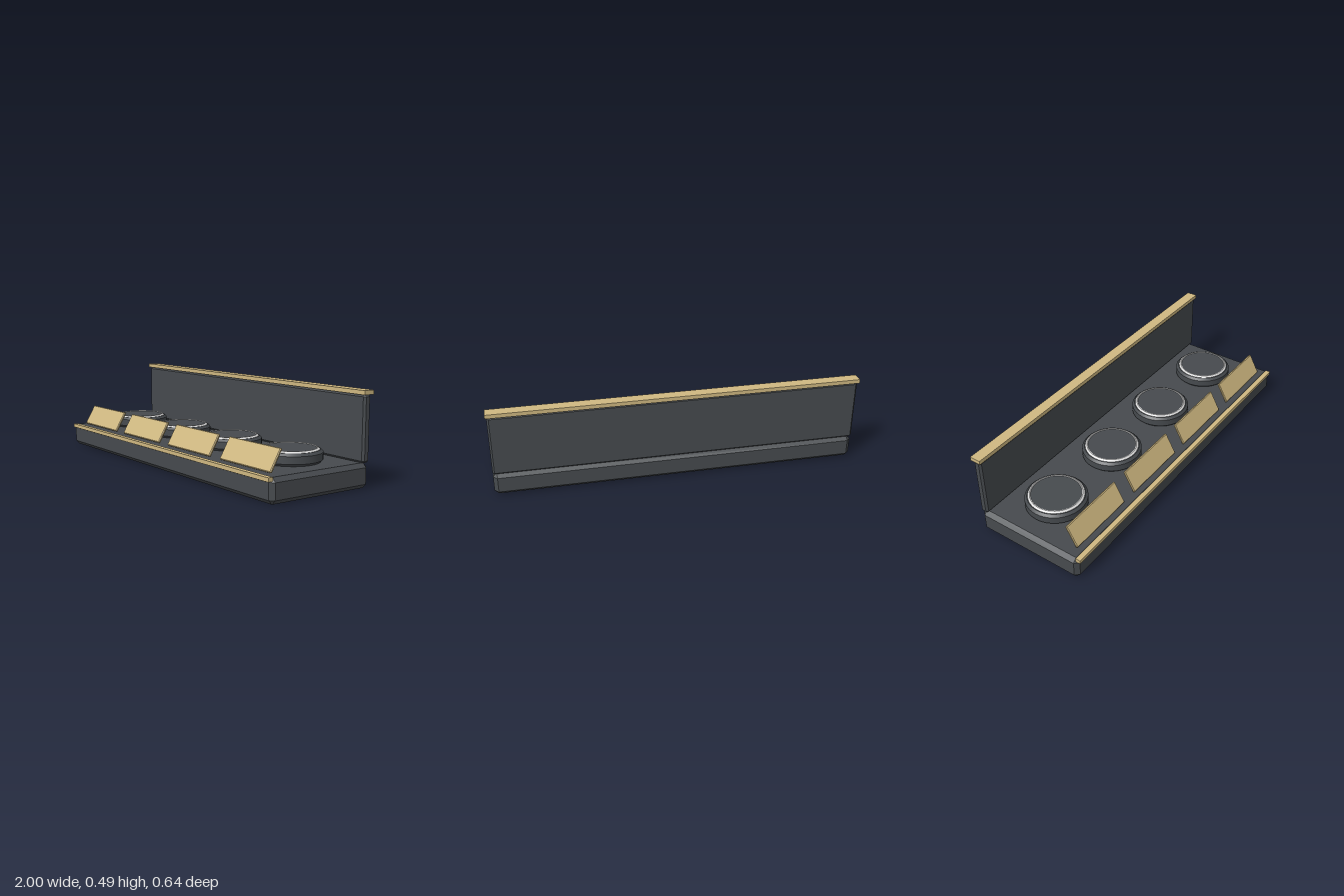
import * as THREE from 'three';
import { ConvexGeometry } from 'three/addons/geometries/ConvexGeometry.js';
import { toCreasedNormals } from 'three/addons/utils/BufferGeometryUtils.js';

const charcoal = new THREE.MeshStandardMaterial({ color: 0x464a4e });
charcoal.name = 'charcoal';
const brass = new THREE.MeshStandardMaterial({ color: 0xcfb881 });
brass.name = 'brass';
const silver = new THREE.MeshStandardMaterial({ color: 0xdcdcdc });
silver.name = 'silver';

// Box with every edge cut by a flat bevel
function bevelBox(w, h, d, b) {
  const pts = [];
  for (const x of [-1, 1]) for (const y of [-1, 1]) for (const z of [-1, 1]) {
    for (let axis = 0; axis < 3; axis++) {
      const cut = [b, b, b];
      cut[axis] = 0;
      pts.push(new THREE.Vector3(x * (w / 2 - cut[0]), y * (h / 2 - cut[1]), z * (d / 2 - cut[2])));
    }
  }
  return new ConvexGeometry(pts);
}

function lathe(profile) {
  const points = profile.map(([r, y]) => new THREE.Vector2(r, y));
  return toCreasedNormals(new THREE.LatheGeometry(points, 48), 0.4);
}

export function createModel() {
  const model = new THREE.Group();
  model.name = 'displayStand';

  const add = (name, geometry, material, x, y, z, parent = model) => {
    const mesh = new THREE.Mesh(geometry, material);
    mesh.name = name;
    mesh.position.set(x, y, z);
    parent.add(mesh);
    return mesh;
  };

  // Base, back board and their trims
  add('base', bevelBox(1.986, 0.128, 0.626, 0.022), charcoal, 0, 0.064, 0);
  add('backPanel', bevelBox(1.986, 0.34, 0.045, 0.0105), charcoal, 0, 0.298, -0.29);
  add('topTrim', new THREE.BoxGeometry(2, 0.022, 0.061), brass, 0, 0.479, -0.29);
  add('frontTrim', new THREE.BoxGeometry(1.96, 0.021, 0.027), brass, 0, 0.12, 0.3085);

  // Four round pedestals, each with a leaning name plate
  const pedestalGeo = lathe([[0, 0], [0.152, 0], [0.165, 0.013], [0.165, 0.051], [0.152, 0.064], [0, 0.064]]);
  const ringGeo = lathe([[0.148, 0.063], [0.148, 0.0645], [0.138, 0.072], [0.134, 0.072], [0.132, 0.068]]);
  const insetGeo = lathe([[0.134, 0.064], [0.134, 0.069], [0, 0.069]]);
  const plateGeo = bevelBox(0.396, 0.126, 0.014, 0.004);

  for (let i = 0; i < 4; i++) {
    const station = new THREE.Group();
    station.name = 'station' + (i + 1);
    station.position.x = (i - 1.5) * 0.484;
    model.add(station);
    add('pedestal', pedestalGeo, charcoal, 0, 0.128, -0.028, station);
    add('pedestalRing', ringGeo, silver, 0, 0.128, -0.028, station);
    add('pedestalInset', insetGeo, charcoal, 0, 0.128, -0.028, station);
    add('plate', plateGeo, brass, 0, 0.189, 0.228, station).rotation.x = -Math.PI / 6;
  }
  return model;
}
